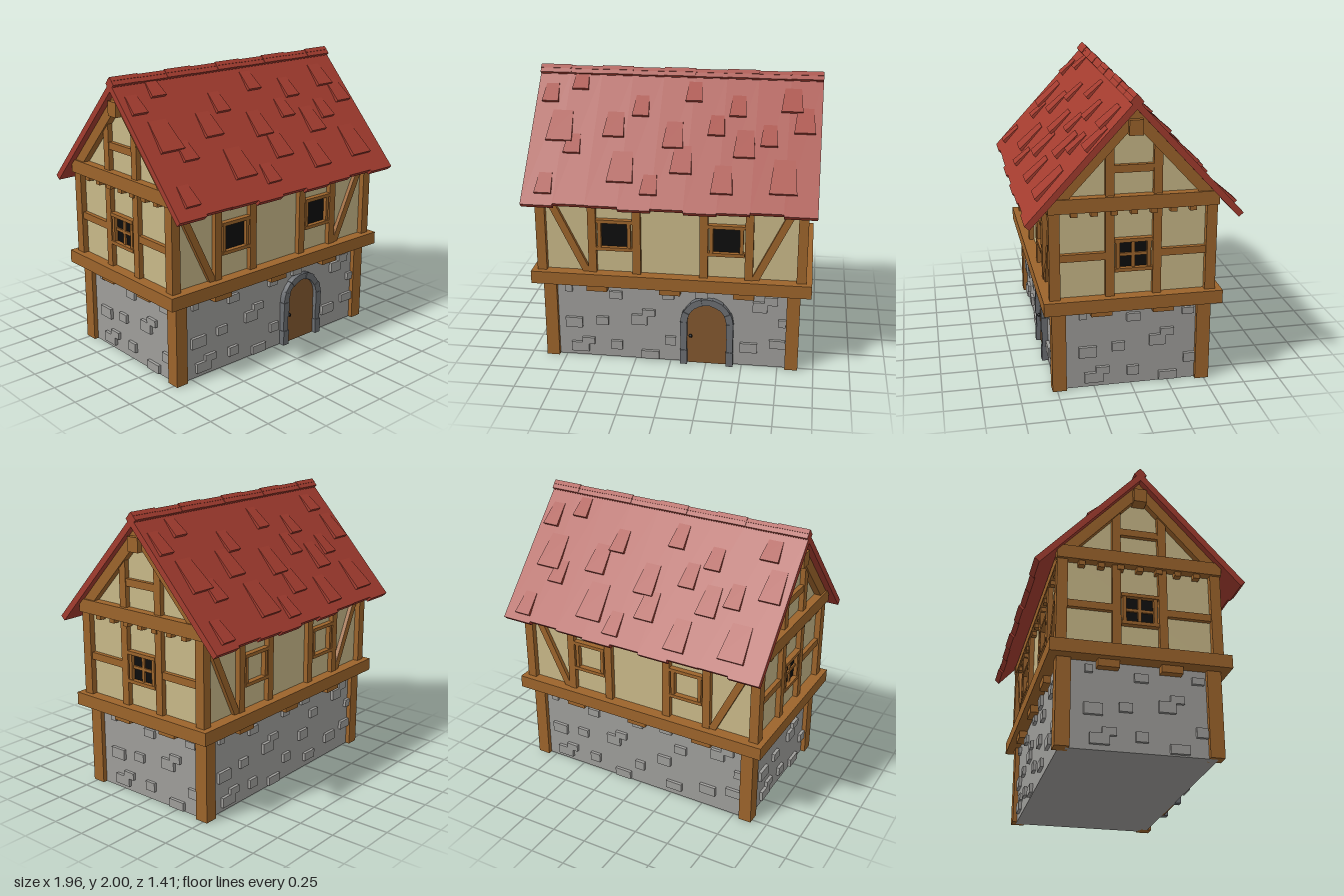
import * as THREE from 'three';

const mat = (name, color) => Object.assign(new THREE.MeshStandardMaterial({ color }), { name });

export function createModel() {
  const red = mat('roof red', 0xa33c2f), wood = mat('timber brown', 0x9c642b), plaster = mat('plaster cream', 0xc8b888),
    stone = mat('stone grey', 0x9e9d9a), archGrey = mat('arch grey', 0x6b6e72), doorBrown = mat('door brown', 0x82572f),
    black = mat('window black', 0x0d0d0d);
  const house = new THREE.Group();
  house.name = 'house';

  const add = (parent, name, geo, material) => {
    const m = new THREE.Mesh(geo, material);
    m.name = name;
    parent.add(m);
    return m;
  };
  // box given by its limits
  const bar = (parent, name, material, x0, x1, y0, y1, z0, z1) => {
    const m = add(parent, name, new THREE.BoxGeometry(x1 - x0, y1 - y0, z1 - z0), material);
    m.position.set((x0 + x1) / 2, (y0 + y1) / 2, (z0 + z1) / 2);
    return m;
  };
  // slanted timber lying in the wall plane
  const brace = (parent, name, x0, y0, x1, y1, width, depth) => {
    const m = add(parent, name, new THREE.BoxGeometry(width, Math.hypot(x1 - x0, y1 - y0), depth), wood);
    m.position.set((x0 + x1) / 2, (y0 + y1) / 2, depth / 2);
    m.rotation.z = -Math.atan2(x1 - x0, y1 - y0);
  };
  // wall group: x along the wall, z outward from its face
  const wall = (name, angle, dist) => {
    const g = new THREE.Group();
    g.name = name;
    g.rotation.y = angle;
    g.position.set(Math.sin(angle) * dist, 0, Math.cos(angle) * dist);
    house.add(g);
    return g;
  };

  // ground floor: stone core, corner posts, sill and joists
  bar(house, 'stoneBase', stone, -0.86, 0.86, 0, 0.6, -0.5, 0.5);
  for (const sx of [-1, 1]) for (const sz of [-1, 1]) {
    const lower = bar(house, 'lowerPost', wood, -0.045, 0.045, 0, 0.59, -0.047, 0.047);
    lower.position.x = sx * 0.847;
    lower.position.z = sz * 0.485;
    const upper = bar(house, 'upperPost', wood, -0.033, 0.033, 0.66, 1.3, -0.035, 0.035);
    upper.position.x = sx * 0.893;
    upper.position.z = sz * 0.51;
  }
  bar(house, 'sillBeam', wood, -0.965, 0.965, 0.58, 0.67, -0.588, 0.588);
  for (const x of [-0.51, 0, 0.508]) bar(house, 'crossJoist', wood, x - 0.072, x + 0.072, 0.53, 0.585, -0.557, 0.557);
  for (const z of [-0.205, 0.205]) bar(house, 'longJoist', wood, -0.915, 0.915, 0.53, 0.585, z - 0.07, z + 0.07);

  // raised stones: x, y, width, height
  const stones = [
    [-0.72, 0.525, 0.05, 0.05], [-0.385, 0.49, 0.09, 0.055], [-0.015, 0.505, 0.08, 0.045], [0.215, 0.545, 0.09, 0.08],
    [0.695, 0.51, 0.09, 0.06], [0.62, 0.46, 0.1, 0.075], [-0.155, 0.365, 0.09, 0.05], [-0.22, 0.31, 0.11, 0.075],
    [-0.69, 0.26, 0.12, 0.075], [-0.485, 0.285, 0.085, 0.06], [-0.65, 0.07, 0.125, 0.07], [-0.59, 0.12, 0.09, 0.05],
    [-0.385, 0.1, 0.08, 0.065], [-0.145, 0.04, 0.125, 0.06], [0, 0.16, 0.075, 0.065], [0.547, 0.142, 0.12, 0.07],
    [0.745, 0.182, 0.11, 0.06], [0.775, 0.345, 0.05, 0.055],
  ];
  const backExtra = [[0.2, 0.27, 0.1, 0.07], [0.33, 0.4, 0.09, 0.06], [0.28, 0.08, 0.12, 0.06]];
  const layStones = (name, angle, dist, list, shift) => {
    const g = wall(name, angle, dist);
    for (const [x, y, w, h] of list) bar(g, 'stone', stone, x + shift - w / 2, x + shift + w / 2, y - h / 2, y + h / 2, -0.01, 0.022);
  };
  layStones('frontStones', 0, 0.5, stones, 0);
  layStones('backStones', Math.PI, 0.5, [...stones, ...backExtra], 0);
  const sideStones = stones.filter(s => s[0] < 0.02);
  layStones('rightStones', Math.PI / 2, 0.86, sideStones, 0.397);
  layStones('leftStones', -Math.PI / 2, 0.86, sideStones, 0.397);

  // arched door with stone surround
  const entry = wall('entry', 0, 0.5);
  const cx = 0.255, spring = 0.325, rIn = 0.14, rOut = 0.183;
  const extrude = (shape, depth) => new THREE.ExtrudeGeometry(shape, { depth, bevelEnabled: false, curveSegments: 12 });
  const doorShape = new THREE.Shape().moveTo(cx - rIn, 0).lineTo(cx + rIn, 0).lineTo(cx + rIn, spring);
  doorShape.absarc(cx, spring, rIn, 0, Math.PI, false);
  add(entry, 'door', extrude(doorShape, 0.012), doorBrown);
  add(entry, 'doorKnob', new THREE.SphereGeometry(0.013, 10, 8), black).position.set(0.142, 0.212, 0.022);
  for (let i = 0; i < 7; i++) {
    const a = i * Math.PI / 7, b = a + Math.PI / 7, r = rOut - (i % 2) * 0.005;
    const s = new THREE.Shape();
    s.absarc(cx, spring, r, a, b, false);
    s.absarc(cx, spring, rIn - 0.005, b, a, true);
    add(entry, 'archStone', extrude(s, 0.042 - (i % 2) * 0.006), archGrey);
  }
  for (const s of [-1, 1]) for (let i = 0; i < 3; i++) {
    const j = (i % 2) * 0.006, m = cx + s * 0.161;
    bar(entry, 'jambStone', archGrey, m - 0.025 + j / 2, m + 0.025 - j / 2, i * 0.108, (i + 1) * 0.108, 0, 0.044 - j);
  }

  // upper storey with gables, a pentagon pushed along x
  const section = new THREE.Shape([[-0.505, 0.6], [0.505, 0.6], [0.505, 1.34], [0, 1.89], [-0.505, 1.34]].map(p => new THREE.Vector2(...p)));
  const storey = add(house, 'plasterStorey', extrude(section, 1.77), plaster);
  storey.rotation.y = Math.PI / 2;
  storey.position.x = -0.885;

  const windowFrame = (g, x, pane) => {
    for (const y of [0.835, 1.034]) bar(g, 'windowRail', wood, x - 0.124, x + 0.124, y, y + 0.024, 0, 0.04);
    for (const s of [-1, 1]) bar(g, 'windowStile', wood, x + s * 0.102 - 0.012, x + s * 0.102 + 0.012, 0.85, 1.04, 0, 0.034);
    if (pane) bar(g, 'windowPane', black, x - 0.092, x + 0.092, 0.857, 1.036, 0, 0.008);
  };

  // long walls
  for (const [name, angle] of [['frontTimbers', 0], ['backTimbers', Math.PI]]) {
    const g = wall(name, angle, 0.505);
    for (const s of [-1, 1]) {
      for (const x of [0.23, 0.537]) bar(g, 'stud', wood, s * x - 0.028, s * x + 0.028, 0.66, 1.3, 0, 0.035);
      brace(g, 'brace', s * 0.862, 1.25, s * 0.57, 0.65, 0.05, 0.028);
      windowFrame(g, s * 0.383, angle === 0);
    }
    bar(g, 'wallPlate', wood, -0.92, 0.92, 1.235, 1.3, 0, 0.042);
    for (let i = -6; i <= 6; i++) bar(g, 'peg', wood, i * 0.128 - 0.022, i * 0.128 + 0.022, 1.205, 1.24, 0, 0.035);
  }

  // gable walls
  for (const [name, angle] of [['rightGable', Math.PI / 2], ['leftGable', -Math.PI / 2]]) {
    const g = wall(name, angle, 0.885);
    bar(g, 'tieBeam', wood, -0.55, 0.55, 1.255, 1.348, 0, 0.06);
    bar(g, 'collar', wood, -0.13, 0.13, 1.493, 1.543, 0, 0.03);
    bar(g, 'purlinEnd', wood, -0.044, 0.044, 1.74, 1.838, 0, 0.085);
    for (const s of [-1, 1]) {
      bar(g, 'stud', wood, s * 0.154 - 0.028, s * 0.154 + 0.028, 0.66, 1.68, 0, 0.035);
      bar(g, 'rail', wood, s * 0.327 - 0.155, s * 0.327 + 0.155, 0.922, 0.972, 0, 0.03);
    }
    for (let i = -3; i <= 3; i++) bar(g, 'peg', wood, i * 0.128 - 0.022, i * 0.128 + 0.022, 1.223, 1.26, 0, 0.045);
    windowFrame(g, 0, true);
    bar(g, 'glazingBar', wood, -0.011, 0.011, 0.85, 1.04, 0, 0.02);
    bar(g, 'glazingBar', wood, -0.095, 0.095, 0.936, 0.956, 0, 0.02);
  }

  // shingle: a box narrowed and thinned toward its upper end
  const shingle = (w, len) => {
    const geo = new THREE.BoxGeometry(w, 0.025, len), p = geo.attributes.position;
    for (let i = 0; i < p.count; i++) if (p.getZ(i) < 0) {
      p.setX(i, p.getX(i) * 0.77);
      if (p.getY(i) > 0) p.setY(i, -0.007);
    }
    geo.computeVertexNormals();
    return geo;
  };

  // shingles: x, upper z, lower z, width
  const frontShingles = [
    [-0.88, 0.08, 0.18, 0.115], [-0.68, 0.02, 0.11, 0.115], [-0.78, 0.22, 0.38, 0.18], [-0.68, 0.34, 0.44, 0.115],
    [-0.41, 0.22, 0.35, 0.145], [-0.24, 0.13, 0.24, 0.115], [0, 0.26, 0.395, 0.14], [0.115, 0.05, 0.155, 0.115],
    [0.285, 0.22, 0.325, 0.115], [0.42, 0.115, 0.225, 0.115], [0.48, 0.29, 0.43, 0.145], [0.64, 0.26, 0.37, 0.115],
    [0.78, 0.07, 0.195, 0.145], [0.87, 0.17, 0.3, 0.14], [-0.33, 0.42, 0.575, 0.175], [0.07, 0.38, 0.52, 0.145],
    [0.35, 0.47, 0.61, 0.145], [0.75, 0.43, 0.6, 0.18], [-0.835, 0.54, 0.645, 0.115], [-0.13, 0.53, 0.63, 0.115],
  ];
  const backShingles = [
    [-0.75, 0.46, 0.63, 0.18], [-0.35, 0.5, 0.65, 0.145], [0.13, 0.54, 0.655, 0.115], [0.33, 0.43, 0.61, 0.185],
    [0.835, 0.55, 0.665, 0.115], [-0.07, 0.41, 0.55, 0.14], [-0.48, 0.32, 0.465, 0.14], [-0.64, 0.29, 0.405, 0.115],
    [0, 0.285, 0.435, 0.145], [0.41, 0.245, 0.39, 0.145], [0.68, 0.365, 0.48, 0.115], [0.78, 0.245, 0.415, 0.175],
    [-0.87, 0.19, 0.34, 0.145], [-0.285, 0.24, 0.36, 0.115], [-0.42, 0.145, 0.255, 0.115], [0.3, 0.155, 0.27, 0.115],
    [-0.78, 0.06, 0.16, 0.13], [-0.12, 0.07, 0.19, 0.115], [0.885, 0.09, 0.21, 0.115], [0.68, 0.04, 0.14, 0.11],
  ];

  // roof slopes: local z runs down the slope, local y points out of it
  const pitch = Math.atan(1.086), run = 1 / Math.cos(pitch);
  const eaves = [0.7, 0.69, 0.692, 0.704, 0.694, 0.705, 0.698, 0.69, 0.7];
  for (const [name, flip, list] of [['frontRoof', 1, frontShingles], ['backRoof', -1, backShingles]]) {
    const side = new THREE.Group(), slope = new THREE.Group();
    side.name = name;
    slope.name = name + 'Slope';
    side.rotation.y = flip > 0 ? 0 : Math.PI;
    slope.position.y = 1.965;
    slope.rotation.x = pitch;
    house.add(side);
    side.add(slope);
    eaves.forEach((e, i) => {
      const x = -0.98 + i * 1.96 / 9, x1 = x + 1.96 / 9;
      const [a, b] = flip > 0 ? [x, x1] : [-x1, -x];
      bar(slope, 'roofStrip', red, a, b, -0.042, 0, 0, e * run);
      const lift = 0.022 - (i % 2) * 0.004;
      bar(slope, 'ridgeTile', red, a, b, -0.01, lift, -lift * 1.086, 0.04);
    });
    for (const [x, z0, z1, w] of list) {
      const m = add(slope, 'shingle', shingle(w, (z1 - z0) * run), red);
      m.position.set(flip * x, 0.0105, (z0 + z1) / 2 * run);
    }
    for (const s of [-1, 1]) bar(slope, 'rafter', wood, s * 0.909 - 0.024, s * 0.909 + 0.024, -0.112, -0.03, 0.03, 0.8);
  }
  return house;
}
